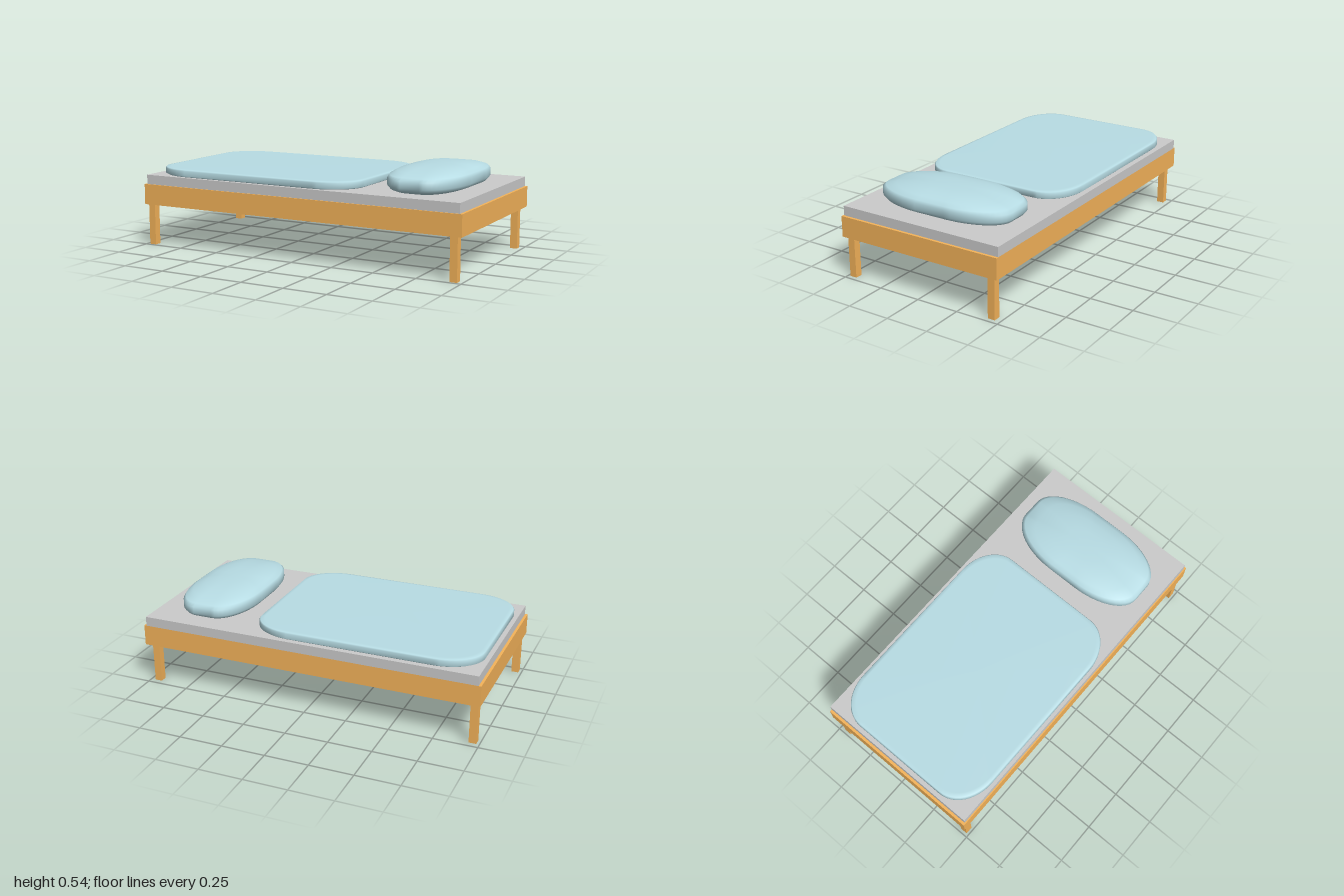
import * as THREE from 'three';

const wood = new THREE.MeshStandardMaterial({ color: 0xf5b45a });
const grey = new THREE.MeshStandardMaterial({ color: 0xcccccc });
const cloth = new THREE.MeshStandardMaterial({ color: 0xb8dde5 });

function addBox(group, name, material, size, position) {
  const mesh = new THREE.Mesh(new THREE.BoxGeometry(...size), material);
  mesh.position.set(...position);
  mesh.name = name;
  group.add(mesh);
}

// Rectangle with elliptical corners: half sizes hx, hz and corner radii rx, rz
function outline(hx, hz, rx, rz, steps = 12) {
  const points = [];
  const corners = [[1, 1], [-1, 1], [-1, -1], [1, -1]];
  corners.forEach(([sx, sz], q) => {
    for (let i = 0; i <= steps; i++) {
      const t = (q + i / steps) * Math.PI / 2;
      points.push([sx * (hx - rx) + rx * Math.cos(t), sz * (hz - rz) + rz * Math.sin(t)]);
    }
  });
  return points;
}

// Soft body lofted upward through scaled outlines; each ring is [scaleX, scaleZ, y]
function softBody(points, rings) {
  const n = points.length, positions = [], index = [];
  for (const [sx, sz, y] of rings) {
    for (const [x, z] of points) positions.push(x * sx, y, z * sz);
  }
  for (let r = 0; r < rings.length - 1; r++) {
    for (let i = 0; i < n; i++) {
      const j = (i + 1) % n;
      const a = r * n + i, b = r * n + j, c = a + n, d = b + n;
      index.push(a, c, b, b, c, d);
    }
  }
  const geometry = new THREE.BufferGeometry();
  geometry.setAttribute('position', new THREE.Float32BufferAttribute(positions, 3));
  geometry.setIndex(index);
  geometry.computeVertexNormals();
  return geometry;
}

export function createModel() {
  const bed = new THREE.Group();
  bed.name = 'bed';

  // Frame and mattress
  addBox(bed, 'frame', wood, [2, 0.12, 1], [0, 0.3, 0]);
  addBox(bed, 'mattress', grey, [1.97, 0.055, 0.993], [0, 0.3875, -0.0035]);

  // Legs
  for (const x of [-0.961, 0.952]) {
    for (const z of [-0.446, 0.465]) {
      addBox(bed, 'leg', wood, [0.042, 0.24, 0.042], [x, 0.12, z]);
    }
  }

  // Blanket
  const blanket = new THREE.Mesh(softBody(outline(0.653, 0.474, 0.23, 0.18), [
    [0, 0, 0.415], [0.985, 0.985, 0.415], [1, 1, 0.421], [1, 1, 0.45],
    [0.992, 0.99, 0.457], [0.96, 0.95, 0.46], [0, 0, 0.461],
  ]), cloth);
  blanket.position.x = -0.308;
  blanket.name = 'blanket';
  bed.add(blanket);

  // Pillow
  const pillow = new THREE.Mesh(softBody(outline(0.22, 0.412, 0.165, 0.32), [
    [0, 0, 0.415], [0.78, 0.88, 0.415], [0.93, 0.96, 0.428], [1, 1, 0.448],
    [1, 1, 0.485], [0.96, 0.95, 0.501], [0.85, 0.78, 0.518],
    [0.62, 0.54, 0.532], [0.34, 0.3, 0.538], [0, 0, 0.538],
  ]), cloth);
  pillow.position.x = 0.665;
  pillow.name = 'pillow';
  bed.add(pillow);

  return bed;
}
